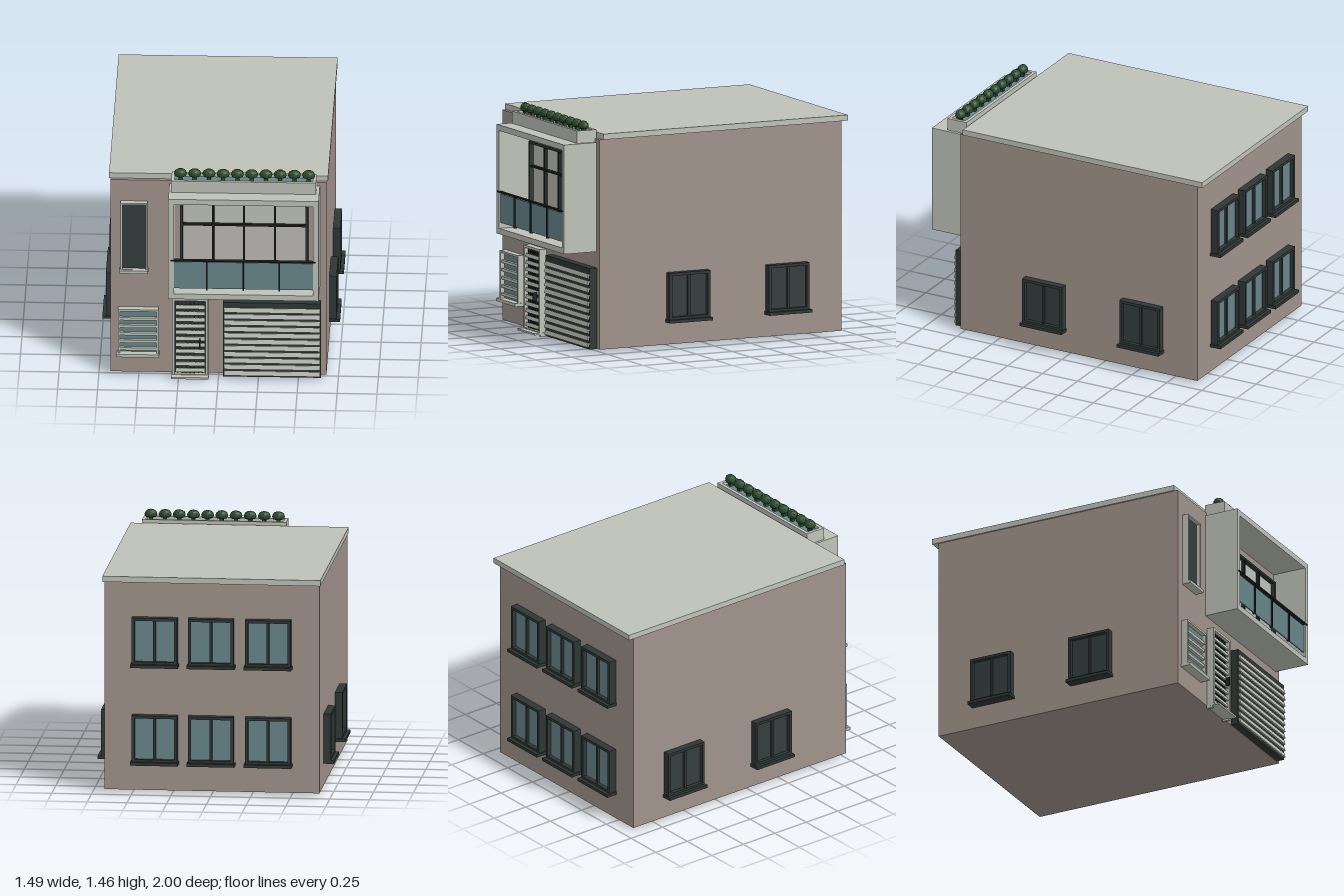
import * as THREE from 'three';

export function createModel() {
  const house = new THREE.Group();
  house.name = 'house';
  const mat = (name, color) => {
    const m = new THREE.MeshStandardMaterial({ color });
    m.name = name;
    return m;
  };
  const wall = mat('wall render', 0xa0938b);
  const trim = mat('pale trim', 0xbec2b8);
  const frame = mat('dark frame', 0x2e3735);
  const darkPane = mat('dark pane', 0x343d3d);
  const glass = mat('blue glass', 0x68858a);
  const rail = mat('black metal', 0x1c2120);
  const blind = mat('blind', 0xbbb9b4);
  const leaf = mat('foliage', 0x2c4a2d);
  leaf.flatShading = true;

  const group = (name, parent = house) => {
    const g = new THREE.Group();
    g.name = name;
    parent.add(g);
    return g;
  };
  // Box given by its limits on each axis
  const box = (parent, name, m, x0, x1, y0, y1, z0, z1) => {
    const mesh = new THREE.Mesh(new THREE.BoxGeometry(x1 - x0, y1 - y0, z1 - z0), m);
    mesh.position.set((x0 + x1) / 2, (y0 + y1) / 2, (z0 + z1) / 2);
    mesh.name = name;
    parent.add(mesh);
    return mesh;
  };
  // Rectangular ring facing +z, extruded from z0 to z1
  const ring = (parent, name, m, [x0, x1, y0, y1], [a0, a1, b0, b1], z0, z1) => {
    const rect = (S, l, r, b, t) =>
      new S().moveTo(l, b).lineTo(r, b).lineTo(r, t).lineTo(l, t).closePath();
    const s = rect(THREE.Shape, x0, x1, y0, y1);
    s.holes.push(rect(THREE.Path, a0, a1, b0, b1));
    const mesh = new THREE.Mesh(
      new THREE.ExtrudeGeometry(s, { depth: z1 - z0, bevelEnabled: false }), m);
    mesh.position.z = z0;
    mesh.name = name;
    parent.add(mesh);
    return mesh;
  };

  const F = 0.768; // front wall plane
  const B = -0.926; // back wall plane

  // Main block and roof slab
  box(house, 'walls', wall, -0.677, 0.675, 0.02, 1.35, B, F);
  box(house, 'roof', trim, -0.687, 0.685, 1.35, 1.386, -0.967, 0.745);

  // Two-pane window with sill, built facing +z with its back on z = 0
  const casement = (name, pane) => {
    const g = group(name);
    ring(g, 'windowFrame', frame, [-0.143, 0.143, 0.015, 0.315], [-0.125, 0.125, 0.035, 0.297], 0, 0.047);
    box(g, 'pane', pane, -0.126, 0.126, 0.034, 0.298, 0, 0.022);
    box(g, 'mullion', frame, -0.008, 0.008, 0.034, 0.298, 0.02, 0.036);
    box(g, 'sill', frame, -0.15, 0.15, 0, 0.02, 0, 0.068);
    return g;
  };
  for (const side of [-1, 1]) {
    for (const z of [0.157, -0.538]) {
      const w = casement('sideWindow', darkPane);
      w.position.set(side * 0.676, 0.162, z);
      w.rotation.y = side * Math.PI / 2;
    }
  }
  for (const y of [0.187, 0.81]) {
    for (const x of [-0.357, 0.002, 0.357]) {
      const w = casement('backWindow', glass);
      w.position.set(x, y, B);
      w.rotation.y = Math.PI;
      w.scale.z = 1.08;
    }
  }

  // Tall upper front window
  const tall = group('tallWindow');
  ring(tall, 'windowFrame', trim, [-0.614, -0.446, 0.73, 1.205], [-0.602, -0.458, 0.745, 1.195], F, 0.808);
  box(tall, 'pane', darkPane, -0.603, -0.457, 0.74, 1.196, F, 0.785);
  box(tall, 'sill', trim, -0.619, -0.44, 0.725, 0.744, F, 0.825);

  // Louvred lower front window
  const louvre = group('louvredWindow');
  ring(louvre, 'windowFrame', trim, [-0.63, -0.375, 0.155, 0.47], [-0.616, -0.389, 0.168, 0.457], F, 0.812);
  box(louvre, 'pane', glass, -0.617, -0.388, 0.167, 0.458, F, 0.785);
  for (let i = 0; i < 5; i++) {
    const y = 0.193 + i * 0.052;
    box(louvre, 'louvre', trim, -0.617, -0.388, y - 0.009, y + 0.009, 0.785, 0.805);
  }
  box(louvre, 'sill', trim, -0.637, -0.371, 0.148, 0.168, F, 0.832);

  // Row of slightly tilted slats
  const slats = (parent, n, x0, x1, top, pitch, h, z) => {
    for (let i = 0; i < n; i++) {
      const y = top - i * pitch;
      box(parent, 'slat', trim, x0, x1, y - h / 2, y + h / 2, z - 0.005, z + 0.005).rotation.x = -0.25;
    }
  };

  // Garage door
  const garage = group('garageDoor');
  box(garage, 'doorPanel', frame, 0.03, 0.642, 0.02, 0.533, F, 0.82);
  slats(garage, 11, 0.036, 0.637, 0.483, 0.0437, 0.029, 0.826);

  // Front door with frame, bars, slats, handle and step
  const door = group('frontDoor');
  ring(door, 'doorFrame', trim, [-0.29, -0.064, 0.02, 0.553], [-0.274, -0.08, 0.03, 0.537], F, 0.816);
  box(door, 'doorPanel', frame, -0.275, -0.079, 0.025, 0.538, F, 0.79);
  for (let i = 0; i < 7; i++) {
    const x = -0.255 + i * 0.026;
    box(door, 'bar', rail, x - 0.004, x + 0.004, 0.03, 0.535, 0.79, 0.798);
  }
  slats(door, 11, -0.27, -0.084, 0.49, 0.0437, 0.024, 0.804);
  box(door, 'handle', rail, -0.119, -0.111, 0.22, 0.275, 0.81, 0.838);
  box(door, 'step', trim, -0.295, -0.06, 0.013, 0.025, F, 0.855);
  for (const x of [-0.286, -0.07]) box(door, 'foot', trim, x - 0.008, x + 0.008, 0, 0.02, F, 0.81);

  // Balcony surround
  const balcony = group('balcony');
  ring(balcony, 'surround', trim, [-0.308, 0.634, 0.635, 1.327], [-0.273, 0.6, 0.671, 1.29], F, 0.994);

  // Balcony window wall
  box(balcony, 'upperPanes', trim, -0.23, 0.553, 1.06, 1.205, F, 0.778);
  box(balcony, 'lowerPanes', blind, -0.23, 0.553, 0.7, 1.06, F, 0.778);
  ring(balcony, 'windowFrame', frame, [-0.24, 0.562, 0.685, 1.217], [-0.224, 0.546, 0.7, 1.202], F, 0.805);
  for (const x of [-0.033, 0.161, 0.354]) box(balcony, 'mullion', rail, x - 0.006, x + 0.006, 0.7, 1.203, 0.778, 0.8);
  box(balcony, 'transom', rail, -0.225, 0.547, 1.054, 1.066, 0.778, 0.8);

  // Glass balustrade
  box(balcony, 'balustradeGlass', glass, -0.273, 0.6, 0.707, 0.89, 0.978, 0.986);
  box(balcony, 'handrail', rail, -0.293, 0.615, 0.899, 0.907, 0.976, 1);
  for (const x of [-0.066, 0.161, 0.388]) box(balcony, 'post', rail, x - 0.004, x + 0.004, 0.7, 0.9, 0.976, 0.996);

  // Planter above the balcony
  const planter = group('planter');
  const trough = ring(planter, 'trough', trim, [-0.293, 0.614, -0.893, -0.757], [-0.272, 0.593, -0.872, -0.778], 0, 0.08);
  trough.rotation.x = -Math.PI / 2;
  trough.position.set(0, 1.326, 0);
  box(planter, 'troughFill', glass, -0.273, 0.594, 1.326, 1.385, 0.777, 0.873);

  // Clipped shrubs: faceted balls with a flattened underside
  const ball = new THREE.IcosahedronGeometry(1, 1);
  const p = ball.attributes.position;
  for (let i = 0; i < p.count; i++) p.setY(i, Math.max(p.getY(i), -0.6));
  ball.computeVertexNormals();
  for (let i = 0; i < 10; i++) {
    const x = -0.237 + i * 0.0892;
    const shrub = new THREE.Mesh(ball, leaf);
    shrub.name = 'shrub';
    shrub.position.set(x, 1.429, 0.826);
    shrub.scale.set(0.041, 0.033, 0.033);
    planter.add(shrub);
    box(planter, 'shrubStem', leaf, x - 0.012, x + 0.012, 1.384, 1.415, 0.814, 0.838);
  }

  return house;
}
